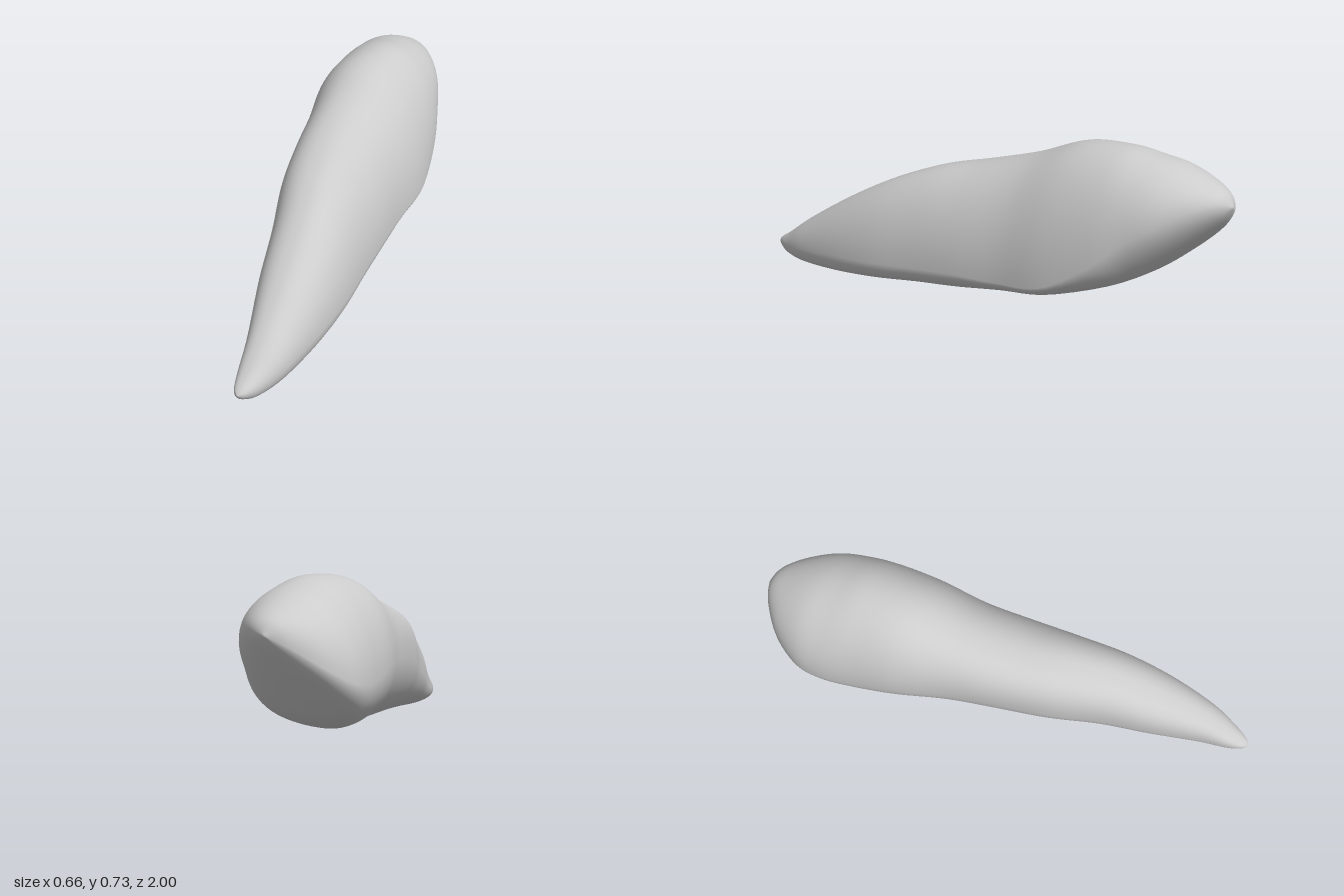
import * as THREE from 'three';
import { mergeVertices } from 'three/addons/utils/BufferGeometryUtils.js';

// Cross-sections from the blunt back end to the pointed front tip:
// z, xMin, xMax, yMin, yMax, y of left extreme, y of right extreme, x of bottom, x of top
const SECTIONS = [
  [-1.00, -0.10, -0.10, 0.56, 0.56, 0.56, 0.56, -0.10, -0.10],
  [-0.97, -0.18, -0.03, 0.50, 0.61, 0.52, 0.57, -0.15, -0.09],
  [-0.90, -0.27, 0.05, 0.41, 0.65, 0.45, 0.55, -0.22, -0.08],
  [-0.80, -0.325, 0.13, 0.31, 0.69, 0.39, 0.50, -0.23, -0.07],
  [-0.70, -0.33, 0.18, 0.23, 0.712, 0.37, 0.43, -0.18, -0.05],
  [-0.58, -0.31, 0.225, 0.175, 0.728, 0.37, 0.32, -0.09, -0.04],
  [-0.40, -0.27, 0.26, 0.135, 0.71, 0.39, 0.21, 0.01, -0.04],
  [-0.20, -0.20, 0.265, 0.11, 0.63, 0.38, 0.18, 0.10, -0.02],
  [0.00, -0.145, 0.285, 0.08, 0.57, 0.36, 0.17, 0.16, 0.02],
  [0.20, -0.085, 0.305, 0.06, 0.52, 0.31, 0.15, 0.20, 0.08],
  [0.40, -0.005, 0.327, 0.037, 0.44, 0.25, 0.13, 0.24, 0.14],
  [0.60, 0.06, 0.33, 0.018, 0.33, 0.18, 0.11, 0.26, 0.18],
  [0.80, 0.135, 0.31, 0.001, 0.20, 0.10, 0.08, 0.25, 0.21],
  [0.92, 0.17, 0.275, 0.004, 0.11, 0.06, 0.055, 0.235, 0.22],
  [0.98, 0.195, 0.245, 0.025, 0.07, 0.05, 0.05, 0.22, 0.22],
  [1.00, 0.22, 0.22, 0.05, 0.05, 0.05, 0.05, 0.22, 0.22],
];
const STEPS = 6, SIDES = 64;

// Smooth interpolation of one whole cross-section
function sectionAt(t) {
  const last = SECTIONS.length - 1;
  const i = Math.min(Math.floor(t), last - 1), f = t - i;
  const row = (k) => SECTIONS[THREE.MathUtils.clamp(k, 0, last)];
  const [a, b, c, d] = [row(i - 1), row(i), row(i + 1), row(i + 2)];
  return b.map((v, k) => v + 0.5 * f * (c[k] - a[k]
    + f * (2 * a[k] - 5 * v + 4 * c[k] - d[k]
    + f * (3 * (v - c[k]) + d[k] - a[k]))));
}

// Four curved quarters that meet at the extremes of the section;
// the upper left quarter of the root is fuller than an ellipse
function ringPoint([z, x0, x1, y0, y1, yl, yr, xb, xt], angle) {
  const c = Math.cos(angle), s = Math.sin(angle);
  const cx = s >= 0 ? xt : xb, cy = c >= 0 ? yr : yl;
  const power = c < 0 && s > 0 ? 1 - 0.25 * THREE.MathUtils.smoothstep(z, -0.6, 0.2) : 1;
  const u = Math.sign(c) * Math.abs(c) ** power;
  const v = Math.sign(s) * Math.abs(s) ** power;
  return [
    cx + u * (c >= 0 ? x1 - cx : cx - x0),
    cy + v * (s >= 0 ? y1 - cy : cy - y0),
    z,
  ];
}

function loft() {
  const rows = (SECTIONS.length - 1) * STEPS;
  const positions = [], index = [];
  for (let i = 0; i <= rows; i++) {
    const section = sectionAt(i / STEPS);
    for (let j = 0; j < SIDES; j++) {
      positions.push(...ringPoint(section, (j / SIDES) * Math.PI * 2));
    }
  }
  for (let i = 0; i < rows; i++) {
    for (let j = 0; j < SIDES; j++) {
      const a = i * SIDES + j, b = i * SIDES + (j + 1) % SIDES;
      if (i > 0) index.push(a, b, a + SIDES);
      if (i < rows - 1) index.push(b, b + SIDES, a + SIDES);
    }
  }
  const geometry = new THREE.BufferGeometry();
  geometry.setAttribute('position', new THREE.Float32BufferAttribute(positions, 3));
  geometry.setIndex(index);
  const merged = mergeVertices(geometry, 1e-5); // closes both end points
  merged.computeVertexNormals();
  return merged;
}

export function createModel() {
  const group = new THREE.Group();
  group.name = 'taperedTooth';
  const grey = new THREE.MeshStandardMaterial({ color: 0xcccccc });
  grey.name = 'light grey';

  // Crown bulb running into a tapering root
  const body = new THREE.Mesh(loft(), grey);
  body.name = 'crownAndRoot';
  group.add(body);
  return group;
}
